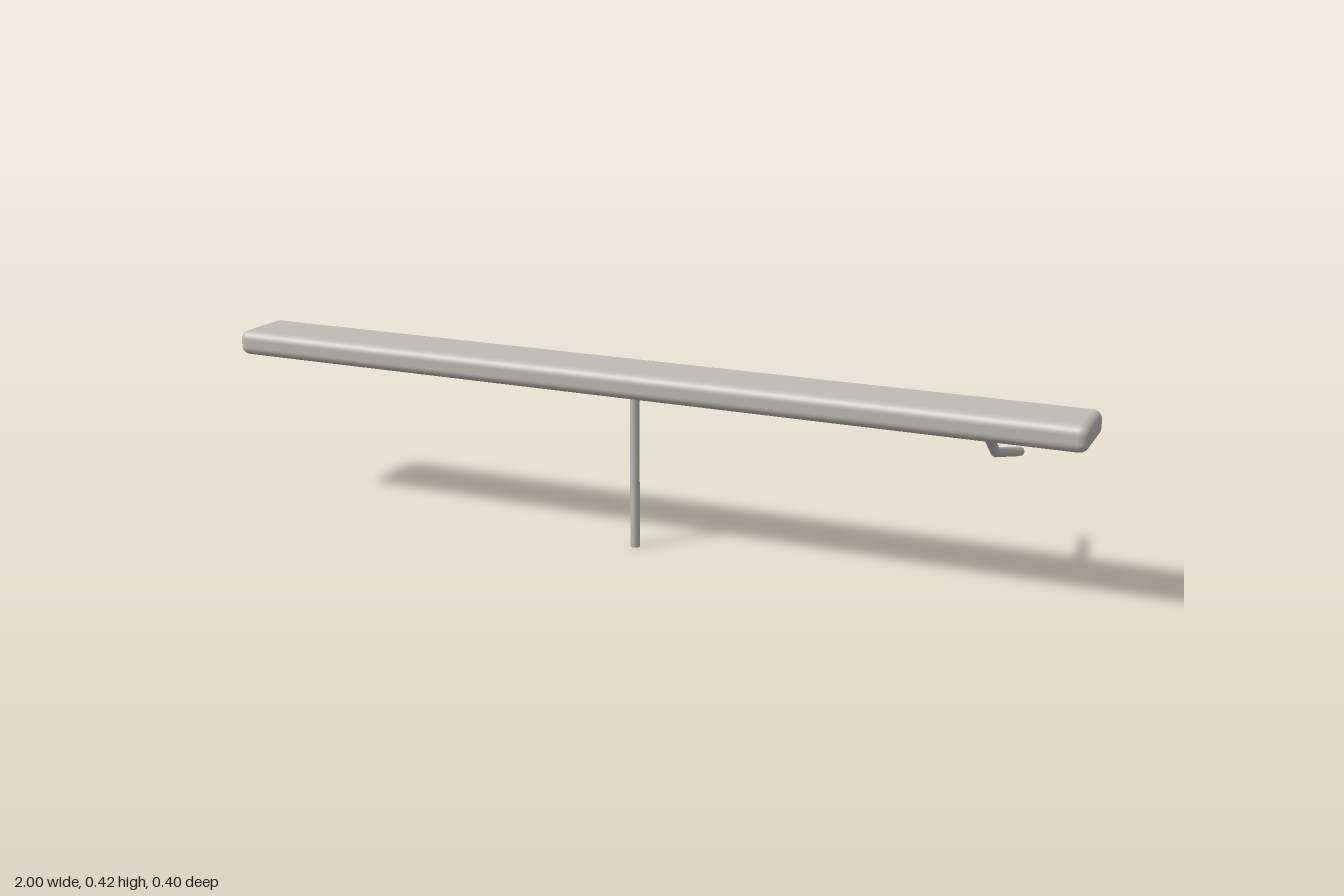
import * as THREE from 'three';
import { RoundedBoxGeometry } from 'three/addons/geometries/RoundedBoxGeometry.js';

const ROD_RADIUS = 0.0107;

// A rod mitred at its joints: each ring of a cylinder is moved onto a path point [x, y, z]
function bentRod(points, radius, sides) {
  const path = points.map((p) => new THREE.Vector3(...p));
  const steps = path.length - 1;
  const geometry = new THREE.CylinderGeometry(radius, radius, 1, sides, steps);
  const direction = (i) => path[i].clone().sub(path[i + 1]).normalize();
  const rings = path.map((centre, i) => {
    const before = direction(Math.max(i - 1, 0));
    const after = direction(Math.min(i, steps - 1));
    const along = before.clone().add(after).normalize();
    const across = new THREE.Vector3(1, 0, 0).cross(along);
    return { centre, across, stretch: 1 / along.dot(before) };
  });
  const position = geometry.attributes.position;
  for (let i = 0; i < position.count; i++) {
    const ring = rings[Math.round((0.5 - position.getY(i)) * steps)];
    const v = ring.centre.clone().addScaledVector(ring.across, position.getZ(i) * ring.stretch);
    position.setXYZ(i, v.x + position.getX(i), v.y, v.z);
  }
  geometry.computeVertexNormals();
  return geometry;
}

export function createModel() {
  const model = new THREE.Group();
  model.name = 'beamOnPost';
  const warmGrey = new THREE.MeshStandardMaterial({ color: 0xbdbcb5 });
  warmGrey.name = 'warmGrey';

  const add = (name, geometry, x = 0, y = 0, z = 0) => {
    const mesh = new THREE.Mesh(geometry, warmGrey);
    mesh.name = name;
    mesh.position.set(x, y, z);
    model.add(mesh);
  };

  // Long bar with rounded edges
  add('beam', new RoundedBoxGeometry(2, 0.057, 0.156, 4, 0.02), 0, 0.3885, 0.122);

  // Upright post under the middle of the bar
  add('post', new THREE.CylinderGeometry(ROD_RADIUS, ROD_RADIUS, 0.37, 16), 0, 0.185, 0.122);

  // Bent lever hanging out behind the left end
  add('lever', bentRod([[0.785, 0.356, 0.12], [0.785, 0.296, 0.037], [0.785, 0.233, -0.196]], ROD_RADIUS, 8));

  return model;
}
